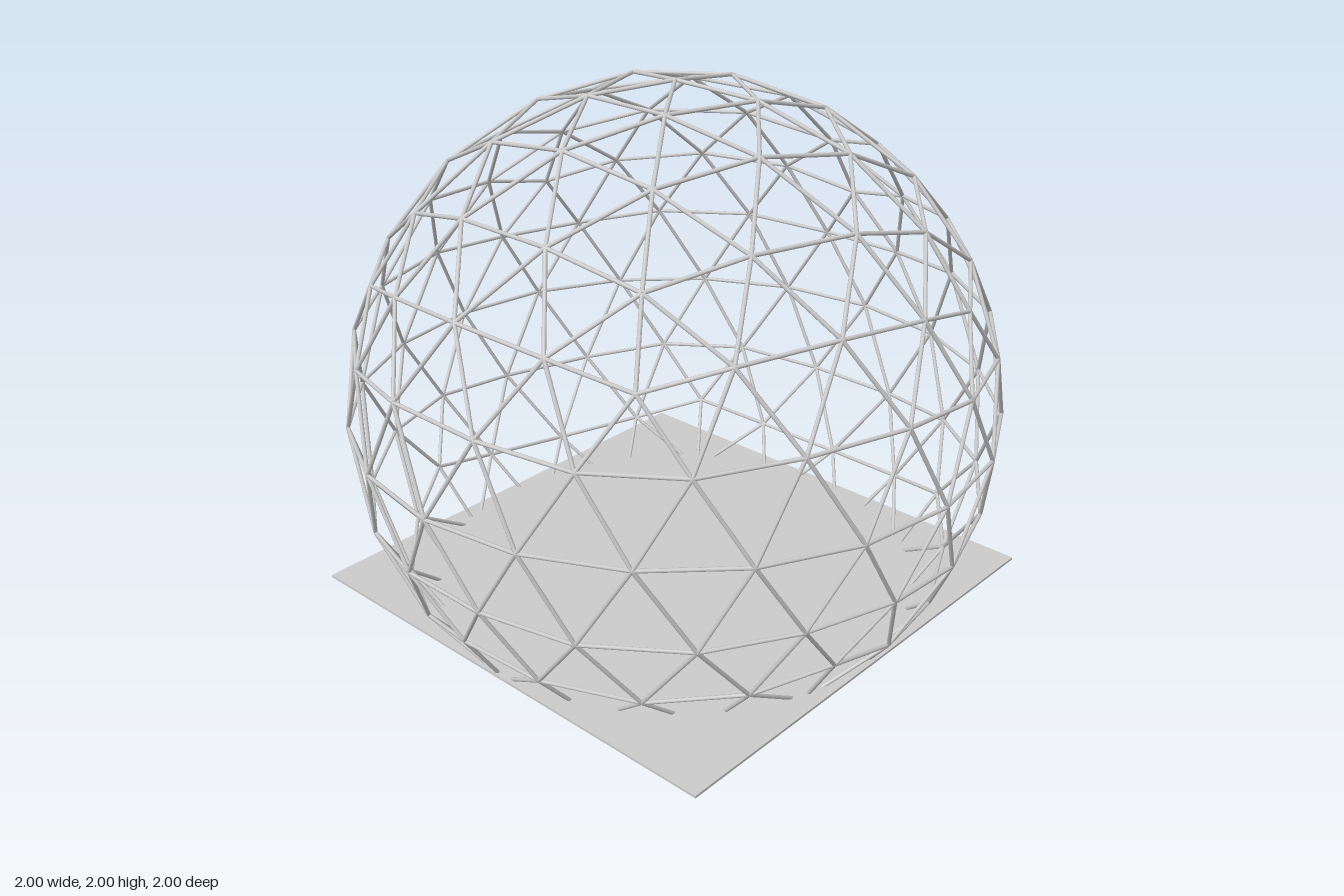
import * as THREE from 'three';
import { mergeGeometries } from 'three/addons/utils/BufferGeometryUtils.js';

const RADIUS = 0.992, STRUT = 0.006, FREQ = 4;
const UP = new THREE.Vector3(0, 1, 0);

// Icosahedron faces with a vertex at each pole
function icosahedronFaces() {
  const h = 1 / Math.sqrt(5), r = 2 * h;
  const ring = (y, offset) => Array.from({ length: 5 }, (_, k) => {
    const a = (k + offset) * Math.PI * 2 / 5;
    return new THREE.Vector3(r * Math.cos(a), y, r * Math.sin(a));
  });
  const top = new THREE.Vector3(0, 1, 0), bottom = new THREE.Vector3(0, -1, 0);
  const upper = ring(h, 0), lower = ring(-h, 0.5);
  const faces = [];
  for (let k = 0; k < 5; k++) {
    const n = (k + 1) % 5;
    faces.push([top, upper[k], upper[n]], [upper[k], upper[n], lower[k]],
      [lower[k], lower[n], upper[n]], [bottom, lower[k], lower[n]]);
  }
  return faces;
}

// Round bar between two nodes
function strut(a, b) {
  const dir = b.clone().sub(a);
  const geo = new THREE.CylinderGeometry(STRUT, STRUT, dir.length(), 8);
  geo.applyQuaternion(new THREE.Quaternion().setFromUnitVectors(UP, dir.normalize()));
  const mid = a.clone().add(b).multiplyScalar(0.5);
  return geo.translate(mid.x, mid.y, mid.z);
}

// Subdivide every face, push nodes to the sphere, keep each edge once
function sphereLattice() {
  const edges = new Map();
  const key = p => p.toArray().map(v => Math.round(v * 1000) + 0).join();
  const addEdge = (a, b) => {
    const id = [key(a), key(b)].sort().join('|');
    if (!edges.has(id)) edges.set(id, strut(a, b));
  };
  for (const [A, B, C] of icosahedronFaces()) {
    const node = (i, j) => new THREE.Vector3()
      .addScaledVector(A, FREQ - i - j)
      .addScaledVector(B, i)
      .addScaledVector(C, j)
      .setLength(RADIUS);
    for (let i = 0; i < FREQ; i++) {
      for (let j = 0; j < FREQ - i; j++) {
        const p = node(i, j), q = node(i + 1, j), s = node(i, j + 1);
        addEdge(p, q);
        addEdge(q, s);
        addEdge(s, p);
      }
    }
  }
  return mergeGeometries([...edges.values()]);
}

export function createModel() {
  const model = new THREE.Group();
  model.name = 'geodesicSphere';
  const grey = new THREE.MeshStandardMaterial({ color: 0xcccccc });

  // Strut lattice
  const lattice = new THREE.Mesh(sphereLattice(), grey);
  lattice.name = 'strutLattice';
  lattice.position.y = 1;
  model.add(lattice);

  // Square floor slicing the lower part of the sphere
  const floor = new THREE.Mesh(new THREE.BoxGeometry(1.572, 0.008, 1.572), grey);
  floor.name = 'floorPlate';
  floor.position.y = 0.382;
  model.add(floor);

  return model;
}
